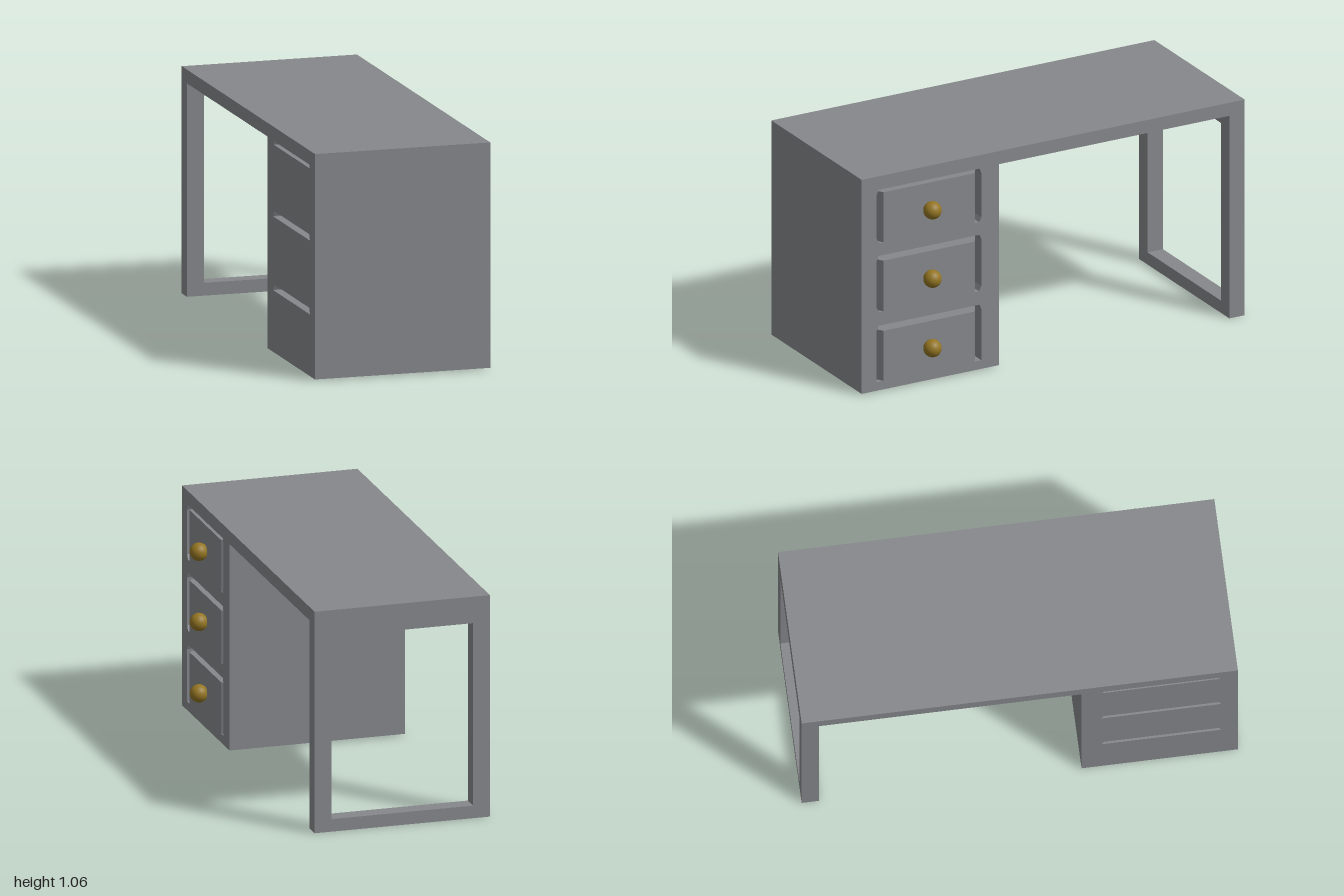
import * as THREE from 'three';

const BACK = -0.455, FRONT = 0.381, DEPTH = FRONT - BACK, MID = (FRONT + BACK) / 2;
const UNDERSIDE = 0.992;

const polygon = (pts, Type = THREE.Shape) => new Type(pts.map(([a, b]) => new THREE.Vector2(a, b)));
const rect = (a0, b0, a1, b1, Type) => polygon([[a0, b0], [a1, b0], [a1, b1], [a0, b1]], Type);
const extrude = (shape, depth) => new THREE.ExtrudeGeometry(shape, { depth, bevelEnabled: false });

export function createModel() {
  const desk = new THREE.Group();
  desk.name = 'desk';
  const paint = new THREE.MeshStandardMaterial({ color: 0x86878b });
  const brass = new THREE.MeshStandardMaterial({ color: 0x937523 });
  const add = (name, geometry, material = paint) => {
    const mesh = new THREE.Mesh(geometry, material);
    mesh.name = name;
    desk.add(mesh);
    return mesh;
  };

  // Worktop
  const top = 1.056;
  add('worktop', new THREE.BoxGeometry(DEPTH, top - UNDERSIDE, 2)).position.set(MID, (top + UNDERSIDE) / 2, 0);

  // Open rectangular leg frame at the far end
  const frame = rect(BACK, 0, FRONT, UNDERSIDE);
  frame.holes.push(rect(BACK + 0.08, 0.06, FRONT - 0.08, 0.93, THREE.Path));
  add('legFrame', extrude(frame, 0.08)).position.z = -1;

  // Each drawer: bottom and top of its opening, lower corner cut, top of the drawer, knob height
  const drawers = [
    { y0: 0.728, y1: 0.99, low: 0.012, lid: 0.973, knob: 0.849 },
    { y0: 0.39, y1: 0.666, low: 0.012, lid: 0.638, knob: 0.514 },
    { y0: 0.05, y1: 0.324, low: 0, lid: 0.295, knob: 0.174 },
  ];
  const z0 = 0.375, z1 = 0.922, cut = 0.01;

  // Cabinet carcass with drawer openings running right through it
  const carcass = rect(0.283, 0.008, 1, UNDERSIDE);
  for (const { y0, y1, low } of drawers) {
    const lower = low
      ? [[z0, y0 + 2 * low], [z0 + low, y0], [z1 - low, y0], [z1, y0 + 2 * low]]
      : [[z0, y0], [z1, y0]];
    carcass.holes.push(polygon([
      ...lower, [z1, y1 - 0.025], [z1 - cut, y1], [z0 + cut, y1], [z0, y1 - 0.025],
    ], THREE.Path));
  }
  add('cabinet', extrude(carcass, DEPTH).rotateY(-Math.PI / 2).translate(FRONT, 0, 0));

  // Drawers with bevelled front sides, leaving a slot above each, and round knobs
  const bevel = 0.06, inset = 0.035;
  const plan = polygon([
    [BACK, z0], [FRONT - bevel, z0], [FRONT, z0 + inset],
    [FRONT, z1 - inset], [FRONT - bevel, z1], [BACK, z1],
  ]);
  for (const { y0, lid, knob } of drawers) {
    add('drawer', extrude(plan, lid - y0).rotateX(Math.PI / 2).translate(0, lid, 0));
    add('knob', new THREE.SphereGeometry(0.042, 32, 20), brass).position.set(0.412, knob, 0.648);
  }
  return desk;
}
